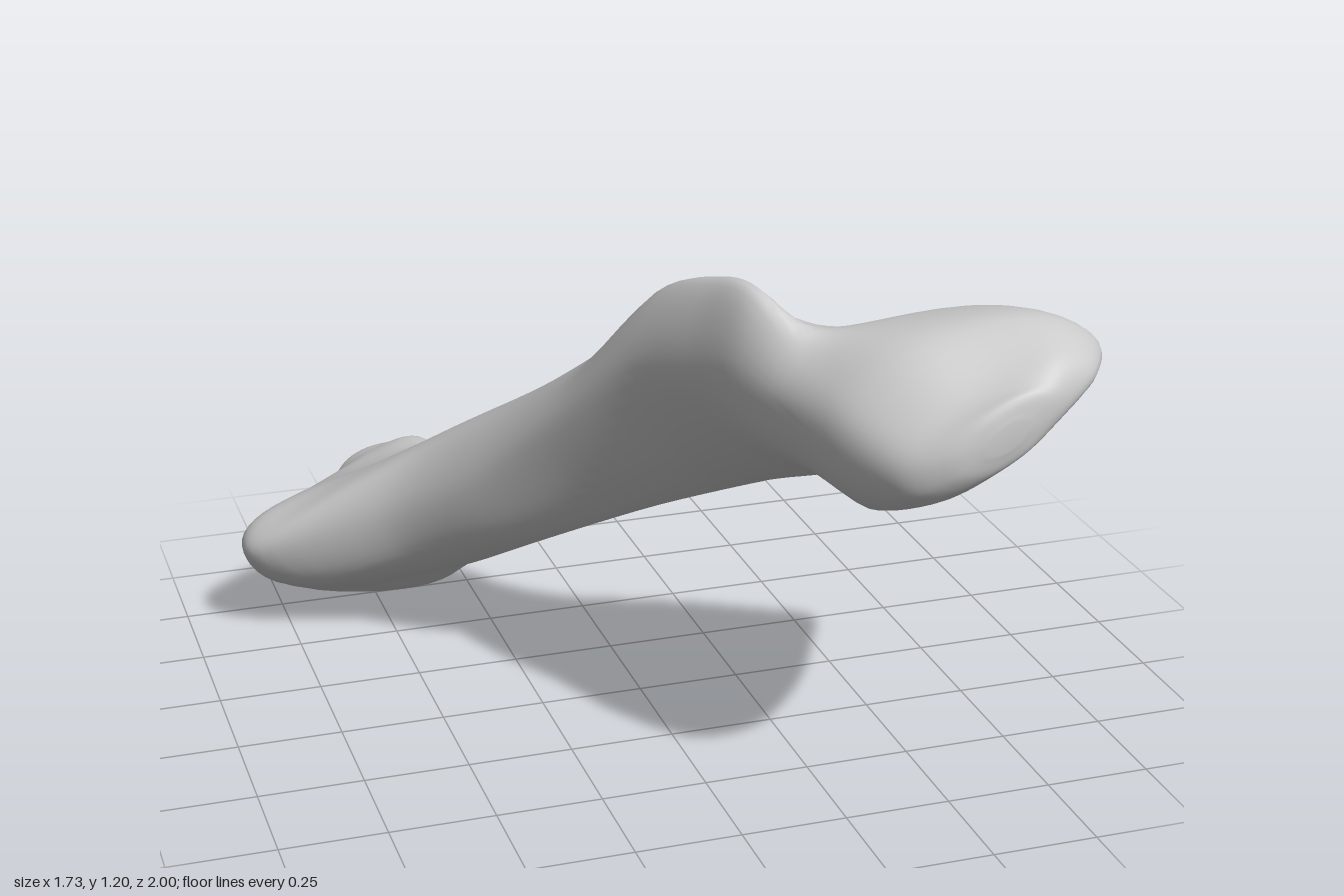
import * as THREE from 'three';

const AROUND = 48;
const ALONG = 84;

// Eight-point tilted oval at depth z, running left, up, right, down
function oval(z, x, y, a, b, degrees) {
  const tilt = THREE.MathUtils.degToRad(degrees);
  return Array.from({ length: 8 }, (_, k) => {
    const t = Math.PI - k * Math.PI / 4 - tilt;
    const u = a * Math.cos(t), v = b * Math.sin(t);
    return new THREE.Vector3(
      x + u * Math.cos(tilt) - v * Math.sin(tilt),
      y + u * Math.sin(tilt) + v * Math.cos(tilt), z);
  });
}

// Hand-shaped outline at depth z, from eight x, y pairs in the same order
function outline(z, ...xy) {
  return Array.from({ length: 8 }, (_, k) => new THREE.Vector3(xy[2 * k], xy[2 * k + 1], z));
}

// Smooth closed skin through the sections, ordered from back to front
function loft(sections) {
  const columns = Array.from({ length: 8 }, (_, k) =>
    new THREE.CatmullRomCurve3(sections.map((s) => s[k]), false, 'catmullrom', 0.45));
  const positions = [], index = [];
  const at = (i, j) => i * AROUND + (j % AROUND);
  const centers = [];
  for (let i = 0; i <= ALONG; i++) {
    const ring = columns.map((c) => c.getPoint(i / ALONG));
    const curve = new THREE.CatmullRomCurve3(ring, true, 'catmullrom', 0.5);
    const center = new THREE.Vector3();
    for (let j = 0; j < AROUND; j++) {
      const p = curve.getPoint(j / AROUND);
      positions.push(p.x, p.y, p.z);
      center.addScaledVector(p, 1 / AROUND);
    }
    centers.push(center);
    for (let j = 0; i < ALONG && j < AROUND; j++) {
      index.push(at(i, j), at(i + 1, j), at(i, j + 1));
      index.push(at(i, j + 1), at(i + 1, j), at(i + 1, j + 1));
    }
  }
  // Rounded ends closed with a fan
  const back = (ALONG + 1) * AROUND, front = back + 1;
  for (const c of [centers[0], centers[ALONG]]) positions.push(c.x, c.y, c.z);
  for (let j = 0; j < AROUND; j++) {
    index.push(back, at(0, j), at(0, j + 1));
    index.push(front, at(ALONG, j + 1), at(ALONG, j));
  }
  const geometry = new THREE.BufferGeometry();
  geometry.setAttribute('position', new THREE.Float32BufferAttribute(positions, 3));
  geometry.setIndex(index);
  geometry.computeVertexNormals();
  return geometry;
}

export function createModel() {
  // Lower joint: a round knuckle on the right and a blunt point on the left
  const lowerJoint = [
    oval(-1, -0.43, 0.22, 0.03, 0.03, 0),
    oval(-0.965, -0.425, 0.22, 0.13, 0.115, 0),
    outline(-0.88, -0.62, 0.2, -0.56, 0.3, -0.46, 0.36, -0.34, 0.38, -0.235, 0.26, -0.265, 0.11, -0.38, 0.045, -0.55, 0.075),
    outline(-0.76, -0.79, 0.2, -0.72, 0.29, -0.54, 0.365, -0.33, 0.4, -0.225, 0.25, -0.25, 0.07, -0.39, 0.005, -0.65, 0.04),
    outline(-0.65, -0.86, 0.215, -0.81, 0.31, -0.58, 0.395, -0.31, 0.43, -0.2, 0.29, -0.22, 0.14, -0.4, 0.06, -0.75, 0.105),
    outline(-0.55, -0.82, 0.24, -0.74, 0.345, -0.49, 0.47, -0.25, 0.475, -0.145, 0.36, -0.165, 0.22, -0.36, 0.14, -0.68, 0.14),
  ];

  // Slender oval shaft
  const shaft = [
    oval(-0.4, -0.3, 0.415, 0.25, 0.187, 27),
    oval(-0.2, -0.165, 0.555, 0.225, 0.178, 53),
  ];

  // Upper joint: a thick crest on the left, sloping into a broad wedge-shaped head
  const upperJoint = [
    outline(0, -0.22, 0.73, -0.15, 0.865, -0.05, 0.9, 0.1, 0.81, 0.24, 0.68, 0.17, 0.56, 0.02, 0.49, -0.14, 0.57),
    outline(0.2, -0.1, 0.92, -0.02, 1.11, 0.13, 1.03, 0.32, 0.93, 0.54, 0.8, 0.46, 0.68, 0.22, 0.61, 0.02, 0.7),
    outline(0.38, -0.02, 0.99, 0.055, 1.19, 0.21, 1.09, 0.4, 1, 0.71, 0.94, 0.59, 0.8, 0.3, 0.69, 0.1, 0.78),
    outline(0.52, 0.04, 1.02, 0.095, 1.2, 0.23, 1.1, 0.53, 1.1, 0.855, 1.025, 0.71, 0.88, 0.35, 0.75, 0.12, 0.83),
    outline(0.64, 0.11, 0.98, 0.16, 1.09, 0.29, 1.14, 0.6, 1.155, 0.825, 1.05, 0.7, 0.91, 0.35, 0.78, 0.17, 0.83),
  ];
  const headEnd = [
    outline(0.8, 0.18, 0.93, 0.21, 1.04, 0.36, 1.15, 0.63, 1.185, 0.785, 1.085, 0.64, 0.96, 0.33, 0.79, 0.23, 0.81),
    outline(0.93, 0.27, 0.92, 0.31, 0.99, 0.43, 1.07, 0.61, 1.14, 0.705, 1.08, 0.59, 0.98, 0.4, 0.85, 0.3, 0.85),
    oval(0.985, 0.48, 0.995, 0.14, 0.065, 33),
    oval(1, 0.48, 0.995, 0.05, 0.025, 33),
  ];

  const bone = new THREE.Mesh(
    loft([...lowerJoint, ...shaft, ...upperJoint, ...headEnd]),
    new THREE.MeshStandardMaterial({ color: 0xcccccc }));
  bone.name = 'limbBone';

  const group = new THREE.Group();
  group.name = 'bone';
  group.add(bone);
  return group;
}
